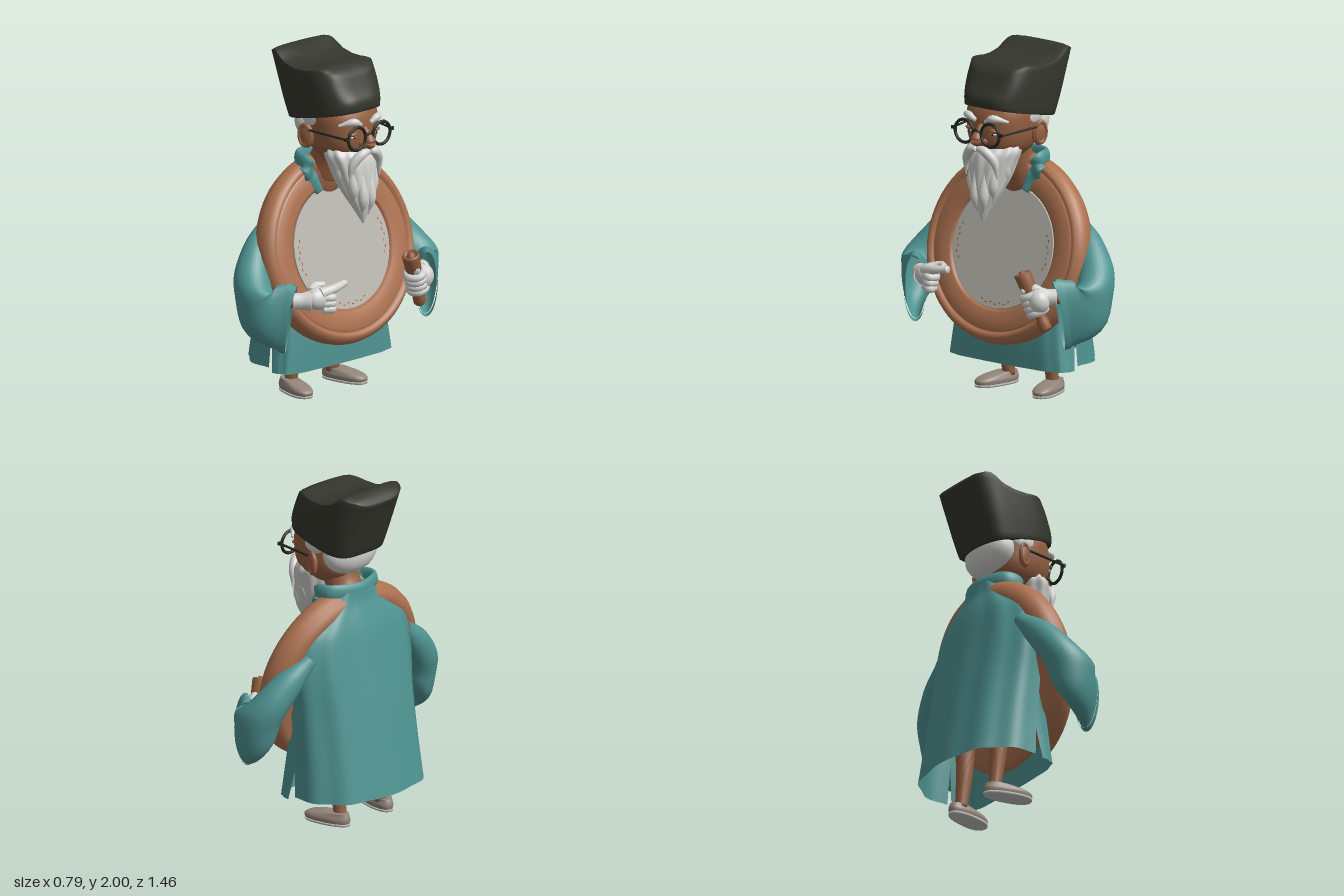
import * as THREE from 'three';

const mat = (name, color, side = THREE.FrontSide) => {
  const m = new THREE.MeshStandardMaterial({ color, side });
  m.name = name;
  return m;
};
const V = (p) => new THREE.Vector3(...p);
const { lerp } = THREE.MathUtils;

// Skin a list of rings into one smooth surface
function loft(rings, closed = true, cap = false) {
  if (cap) {
    const mid = (r) => {
      const c = r.reduce((s, p) => s.add(V(p)), new THREE.Vector3()).divideScalar(r.length);
      return r.map(() => c.toArray());
    };
    rings = [mid(rings[0]), ...rings, mid(rings[rings.length - 1])];
  }
  const n = rings[0].length, idx = [];
  for (let i = 0; i < rings.length - 1; i++)
    for (let j = 0; j < (closed ? n : n - 1); j++) {
      const k = (j + 1) % n, a = i * n + j, b = i * n + k;
      idx.push(a, a + n, b, b, a + n, b + n);
    }
  const g = new THREE.BufferGeometry();
  g.setAttribute('position', new THREE.Float32BufferAttribute(rings.flat(2), 3));
  g.setIndex(idx);
  g.computeVertexNormals();
  return g;
}

// Horizontal rounded section: back x, middle x, front x, half width
const spow = (v, p) => Math.sign(v) * Math.abs(v) ** p;
function oval(y, xb, xc, xf, hw, { p = 1, from = 0, to = 2 * Math.PI, n = 40, open = false, fold = 0, count = 12 } = {}) {
  return Array.from({ length: open ? n + 1 : n }, (_, j) => {
    const a = from + (to - from) * j / n, c = Math.cos(a);
    const f = 1 + fold * Math.cos(count * a);
    return [xc + spow(c, p) * (c > 0 ? xf - xc : xc - xb) * f, y, spow(Math.sin(a), p) * hw * f];
  });
}

// Smoothly interpolate rows of numbers, t in 0..1
function rowsAt(rows, t) {
  const f = t * (rows.length - 1), i = Math.min(Math.floor(f), rows.length - 2), k = f - i;
  return rows[i].map((v, c) => {
    const a = rows[Math.max(i - 1, 0)][c], d = rows[Math.min(i + 2, rows.length - 1)][c], b = rows[i + 1][c];
    return v + 0.5 * k * (b - a + k * (2 * a - 5 * v + 4 * b - d + k * (3 * (v - b) + d - a)));
  });
}
const stack = (rows, opt = {}, steps = 24) => loft(
  Array.from({ length: steps + 1 }, (_, i) => oval(...rowsAt(rows, i / steps), opt)), !opt.open, !!opt.cap);

// Sweep an ellipse along a path; radii are [width, height] pairs
function sweep(pts, radii, { cap = true, up = [0, 1, 0], n = 16, steps = 24 } = {}) {
  const curve = new THREE.CatmullRomCurve3(pts.map(V));
  const rings = [];
  for (let i = 0; i <= steps; i++) {
    const t = i / steps, c = curve.getPoint(t), d = curve.getTangent(t);
    const [w, h] = rowsAt(radii, t);
    const u = d.clone().cross(V(up)).normalize(), v = u.clone().cross(d);
    rings.push(Array.from({ length: n }, (_, j) => {
      const a = 2 * Math.PI * j / n;
      return c.clone().addScaledVector(u, Math.cos(a) * w).addScaledVector(v, Math.sin(a) * h).toArray();
    }));
  }
  return loft(rings, true, cap);
}
const round = (...r) => r.map((v) => [v, v]);

export function createModel() {
  const teal = mat('robe teal', 0x4f9492, THREE.DoubleSide), wood = mat('disc brown', 0xad7250);
  const skin = mat('skin brown', 0x956041), dark = mat('hat charcoal', 0x35362d, THREE.DoubleSide);
  const white = mat('hair white', 0xd2d2cf), plate = mat('plate grey', 0xbab8b0);
  const shoe = mat('shoe taupe', 0x93857a), sole = mat('sole grey', 0xc2c2be);
  const rust = mat('rust red', 0xb5532f), black = mat('frame black', 0x25271f);
  const root = new THREE.Group();
  const add = (name, geo, m, pos = [0, 0, 0], parent = root) => {
    const mesh = new THREE.Mesh(geo, m);
    mesh.name = name;
    mesh.position.set(...pos);
    parent.add(mesh);
    return mesh;
  };
  const blob = (name, m, pos, r) => add(name, new THREE.SphereGeometry(1, 24, 16).scale(...r), m, pos);

  // Robe: back sheet and front panel with side slits
  add('robeBack', stack([
    [0.2, -0.39, -0.04, 0, 0.43], [0.45, -0.345, -0.025, 0, 0.42], [0.7, -0.3, 0, 0, 0.42], [0.95, -0.25, 0, 0, 0.43],
    [1.12, -0.215, -0.02, 0, 0.39], [1.21, -0.19, -0.04, 0, 0.31], [1.3, -0.16, -0.05, 0, 0.2], [1.37, -0.15, -0.05, 0, 0.14],
  ], { p: 0.79, from: Math.PI / 2, to: Math.PI * 1.5, open: true, fold: 0.018, count: 10, n: 60 }), teal);
  add('robeFront', stack([[0.18, -0.01, 0, 0.125, 0.43], [0.4, 0, -0.03, 0.12, 0.4], [0.65, 0, -0.03, 0.08, 0.38]],
    { p: 0.5, from: -Math.PI / 2, to: Math.PI / 2, open: true, fold: 0.012 }), teal);

  // Round body disc, tilted back
  const disc = new THREE.Group();
  disc.name = 'disc';
  disc.position.set(0.05, 0.841, 0);
  disc.rotation.z = -THREE.MathUtils.degToRad(75.5);
  root.add(disc);
  const profile = [[0, -0.09], [0.48, -0.09], [0.525, -0.068], [0.548, -0.025], [0.553, 0.015], [0.543, 0.052], [0.52, 0.078],
    [0.498, 0.08], [0.49, 0.064], [0.48, 0.062], [0.473, 0.074], [0.42, 0.076], [0.375, 0.07], [0.36, 0.062], [0.357, 0.04], [0, 0.04]];
  add('discRim', new THREE.LatheGeometry(profile.map((p) => new THREE.Vector2(...p)), 72).scale(1, 1, 1.02), wood, [0, 0, 0], disc);
  add('discPlate', new THREE.CylinderGeometry(0.353, 0.353, 0.02, 64).scale(1, 1, 1.02), plate, [0, 0.052, 0], disc);
  // Small dashes near the plate edge: bottom and both sides
  for (const centre of [0, Math.PI / 2, -Math.PI / 2])
    for (let i = -3; i <= 3; i++) {
      const r = i % 2 ? 0.317 : 0.327;
      add('plateDash', new THREE.RingGeometry(r, r + 0.006, 4, 1, centre + i * 0.1, 0.05).rotateX(-Math.PI / 2), rust, [0, 0.0635, 0], disc);
    }

  // Collar, chest and neck
  const half = [[0.035, 1.18, 0.1], [0.012, 1.27, 0.15], [0.015, 1.355, 0.183], [-0.07, 1.37, 0.168]];
  const mirrored = half.map(([x, y, z]) => [x, y, -z]).reverse();
  add('collar', sweep([...half, [-0.132, 1.365, 0], ...mirrored],
    [[0.012, 0.025], [0.018, 0.045], [0.022, 0.048], [0.022, 0.048], [0.02, 0.046], [0.022, 0.048], [0.022, 0.048], [0.018, 0.045], [0.012, 0.025]],
    { steps: 60 }), teal);
  blob('chest', skin, [-0.02, 1.26, 0], [0.068, 0.15, 0.13]);
  add('neck', sweep([[-0.04, 1.28, 0], [0.01, 1.38, 0], [0.05, 1.48, 0]], round(0.11, 0.1, 0.11)), skin);

  // Head, hair and beard
  add('head', stack([[1.39, 0, 0.11, 0.22, 0.1], [1.44, -0.06, 0.11, 0.275, 0.155], [1.5, -0.085, 0.11, 0.3, 0.185],
    [1.58, -0.09, 0.11, 0.305, 0.197], [1.66, -0.1, 0.11, 0.295, 0.197], [1.75, -0.08, 0.1, 0.25, 0.17]], { cap: true, p: 0.9 }), skin);
  blob('backHair', white, [-0.05, 1.585, 0], [0.11, 0.135, 0.187]);
  add('nose', sweep([[0.29, 1.59, 0], [0.325, 1.55, 0], [0.345, 1.51, 0], [0.325, 1.485, 0]],
    [[0.018, 0.018], [0.024, 0.022], [0.033, 0.03], [0.02, 0.018]]), skin);
  add('beard', stack([[1.03, 0.28, 0.285, 0.29, 0.004], [1.12, 0.22, 0.27, 0.318, 0.05], [1.2, 0.165, 0.25, 0.328, 0.092],
    [1.29, 0.1, 0.22, 0.328, 0.125], [1.38, 0.07, 0.2, 0.322, 0.152], [1.44, 0.07, 0.18, 0.3, 0.17], [1.49, 0.09, 0.17, 0.24, 0.15]],
    { cap: true, fold: 0.03, count: 12, n: 84 }), white);
  for (const s of [1, -1]) {
    blob('nostril', skin, [0.315, 1.5, s * 0.03], [0.025, 0.02, 0.02]);
    blob('ear', skin, [0.04, 1.53, s * 0.205], [0.045, 0.07, 0.022]).rotation.y = s * 0.3;
    const earRim = add('earRim', new THREE.TorusGeometry(0.042, 0.01, 8, 24).scale(0.85, 1.4, 1), skin, [0.035, 1.535, s * 0.217]);
    earRim.rotation.y = s * 0.3;
    blob('temple', white, [0.065, 1.63, s * 0.177], [0.085, 0.05, 0.026]);
    add('moustache', sweep([[0.335, 1.462, s * 0.005], [0.33, 1.45, s * 0.05], [0.305, 1.39, s * 0.1], [0.295, 1.29, s * 0.115]],
      round(0.018, 0.027, 0.025, 0.004), { up: [1, 0, 0] }), white);
    add('eyebrow', sweep([[0.305, 1.615, s * 0.035], [0.305, 1.64, s * 0.09], [0.25, 1.62, s * 0.16]],
      round(0.012, 0.022, 0.008)), white);
    // Loose beard strands
    for (const [z, y, x] of [[0.03, 1.08, 0.3], [0.075, 1.14, 0.27], [0.11, 1.22, 0.2]])
      add('beardStrand', sweep([[x, y + 0.24, s * z * 1.1], [x + 0.015, y + 0.1, s * z], [x, y, s * z * 0.8]],
        round(0.02, 0.03, 0.003), { up: [1, 0, 0] }), white);
    blob('eye', white, [0.293, 1.548, s * 0.085], [0.012, 0.009, 0.019]);
    blob('pupil', black, [0.302, 1.548, s * 0.085], [0.006, 0.008, 0.008]);
    blob('eyelid', skin, [0.288, 1.565, s * 0.085], [0.022, 0.013, 0.036]);
    // Glasses
    add('lensFrame', new THREE.TorusGeometry(0.066, 0.009, 10, 40).rotateY(Math.PI / 2), black, [0.335, 1.55, s * 0.095]);
    add('glassesHinge', new THREE.BoxGeometry(0.014, 0.018, 0.03), black, [0.335, 1.56, s * 0.172]);
    add('glassesArm', sweep([[0.335, 1.56, s * 0.178], [0.2, 1.565, s * 0.195], [0.05, 1.57, s * 0.212]],
      round(0.007, 0.007), { n: 8 }), black);
  }
  add('glassesBridge', sweep([[0.335, 1.555, 0.03], [0.345, 1.57, 0], [0.335, 1.555, -0.03]], round(0.008, 0.008)), black);

  // Hat with a saddle-shaped crown
  const crown = [[-0.32, 1.945], [-0.27, 1.985], [-0.21, 2.0], [-0.1, 1.94], [0, 1.925], [0.14, 1.945], [0.2, 1.925], [0.28, 1.85]];
  const topY = (x) => {
    const next = crown.findIndex((c) => c[0] > x);
    const b = crown[next < 0 ? crown.length - 1 : Math.max(next, 1)], a = crown[crown.indexOf(b) - 1];
    const k = THREE.MathUtils.clamp((x - a[0]) / (b[0] - a[0]), 0, 1);
    return lerp(a[1], b[1], (k + THREE.MathUtils.smoothstep(k, 0, 1)) / 2);
  };
  const hatRing = (t, scale = 1) => Array.from({ length: 64 }, (_, j) => {
    const a = Math.PI * 2 * j / 64, c = spow(Math.cos(a), 0.5), s = spow(Math.sin(a), 0.55);
    const bx = 0.065 + 0.237 * c * scale;
    const bulge = c > 0 ? 0.025 * c * Math.sin(Math.PI * t) : 0;
    const x = lerp(bx, -0.035 + 0.272 * c * scale, t) + bulge;
    const z = s * scale * lerp(0.21, 0.228, t) * (c > 0 ? 1 - 0.2 * c * c : 1);
    return [x, lerp(1.59 + (bx + 0.17) * 0.21, topY(x) - 0.02 * scale ** 8, t), z];
  });
  const hat = [hatRing(0, 0.85), hatRing(0, 0.97)];
  for (let i = 0; i <= 10; i++) hat.push(hatRing(0.02 + 0.98 * i / 10, 1 + 0.015 * Math.sin(Math.PI * i / 10)));
  for (const k of [0.98, 0.94, 0.85, 0.7, 0.5, 0.25, 0]) hat.push(hatRing(1, k));
  add('hat', loft(hat), dark);

  // Sleeves, legs and shoes
  for (const s of [1, -1]) {
    const side = s > 0 ? 'left' : 'right';
    add(side + 'Sleeve', sweep([[-0.1, 1.03, s * 0.36], [-0.055, 0.9, s * 0.5], [0.015, 0.74, s * 0.605], [0.11, 0.605, s * 0.625], [0.24, 0.565, s * 0.535]],
      [[0.05, 0.05], [0.08, 0.085], [0.105, 0.11], [0.09, 0.165], [0.055, 0.2]], { cap: false, n: 28, steps: 30 }), teal);
    add(side + 'Cuff', sweep([[0.215, 0.57, s * 0.553], [0.245, 0.565, s * 0.53]], [[0.066, 0.205], [0.064, 0.207]], { cap: false, n: 28, steps: 2 }), teal);
    add(side + 'Forearm', sweep([[0.08, 0.62, s * 0.61], [0.2, 0.655, s * 0.53], [0.28, 0.66, s * 0.45]], round(0.05, 0.04, 0.035)), skin);
    add(side + 'GloveCuff', sweep([[0.235, 0.66, s * 0.5], [0.27, 0.66, s * 0.46], [0.3, 0.66, s * 0.42]], round(0.048, 0.048, 0.06)), white);
    add(side + 'Leg', sweep([[-0.1, 0.6, s * 0.17], [-0.11, 0.3, s * 0.16], [-0.135, 0.05, s * 0.16]], round(0.06, 0.05, 0.036)), skin);
    const foot = new THREE.Group();
    foot.name = side + 'Foot';
    foot.position.set(-0.07, 0, s * 0.19);
    foot.rotation.y = -s * 0.22;
    root.add(foot);
    add('shoe', stack([[0.012, -0.138, 0.03, 0.145, 0.058], [0.035, -0.142, 0.03, 0.148, 0.062], [0.055, -0.138, 0.02, 0.11, 0.055],
      [0.072, -0.13, -0.05, 0.02, 0.045]], { cap: true, p: 0.85 }), shoe, [0, 0, 0], foot);
    add('sole', stack([[0, -0.14, 0.03, 0.147, 0.06], [0.014, -0.142, 0.03, 0.15, 0.063]], { cap: true, p: 0.85 }, 2), sole, [0, 0, 0], foot);
  }

  // Left hand, pointing inwards
  blob('leftPalm', white, [0.315, 0.67, 0.38], [0.058, 0.065, 0.08]);
  add('pointingFinger', sweep([[0.335, 0.7, 0.38], [0.36, 0.72, 0.3], [0.35, 0.735, 0.2]], round(0.035, 0.026, 0.02)), white);
  add('leftThumb', sweep([[0.28, 0.7, 0.4], [0.25, 0.72, 0.34], [0.275, 0.725, 0.29]], round(0.03, 0.025, 0.018)), white);
  for (let i = 0; i < 3; i++)
    add('curledFinger', sweep([[0.345, 0.675 - i * 0.033, 0.37], [0.37, 0.675 - i * 0.033, 0.32], [0.32, 0.67 - i * 0.033, 0.3 + i * 0.012]],
      round(0.024, 0.025, 0.02)), white);

  // Right hand around a rolled scroll
  const top = V([0.33, 0.79, -0.325]), low = V([0.272, 0.47, -0.455]);
  const scroll = new THREE.Group();
  scroll.name = 'scroll';
  scroll.position.copy(low).lerp(top, 0.5);
  scroll.quaternion.setFromUnitVectors(new THREE.Vector3(0, 1, 0), top.clone().sub(low).normalize());
  root.add(scroll);
  add('scrollRoll', new THREE.LatheGeometry([[0, -0.175], [0.03, -0.175], [0.036, -0.165], [0.036, -0.12], [0.03, -0.1], [0.034, 0.05],
    [0.046, 0.07], [0.05, 0.165], [0.045, 0.175], [0.036, 0.175], [0.034, 0.16], [0.02, 0.16], [0.018, 0.185], [0, 0.185]]
    .map((p) => new THREE.Vector2(...p)), 28), skin, [0, 0, 0], scroll);
  blob('rightPalm', white, [0.315, 0.64, -0.435], [0.06, 0.07, 0.065]);
  for (let i = 0; i < 4; i++)
    add('grippingFinger', new THREE.TorusGeometry(0.046, 0.023, 10, 28).rotateX(Math.PI / 2), white, [0.006, 0.04 - i * 0.034, 0], scroll);
  add('rightThumb', sweep([[0.29, 0.68, -0.44], [0.31, 0.705, -0.39], [0.36, 0.69, -0.345]], round(0.03, 0.028, 0.018)), white);
  return root;
}
